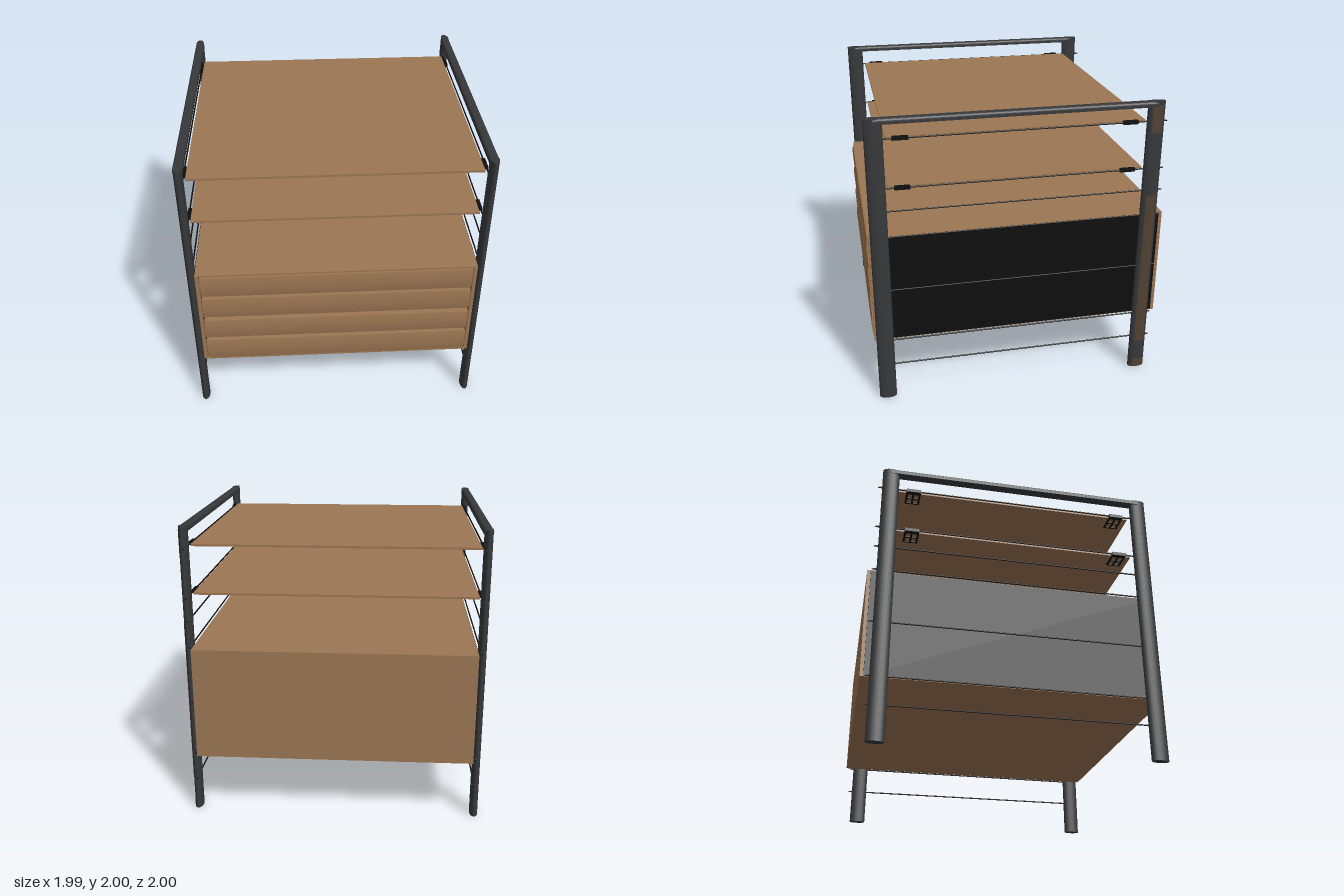
import * as THREE from 'three';

const mat = (name, color, side = THREE.FrontSide) => {
  const m = new THREE.MeshStandardMaterial({ color, side });
  m.name = name;
  return m;
};

export function createModel() {
  const wood = mat('wood', 0x9c7653);
  const steel = mat('dark steel', 0x37383a);
  const black = mat('black', 0x0e0e0e);
  const rust = mat('worn brown', 0x514132, THREE.DoubleSide);
  const model = new THREE.Group();

  const add = (name, geometry, material, x = 0, y = 0, z = 0, parent = model) => {
    const mesh = new THREE.Mesh(geometry, material);
    mesh.name = name;
    mesh.position.set(x, y, z);
    parent.add(mesh);
    return mesh;
  };
  // Box given by its lower and upper corners
  const box = (name, material, [x0, y0, z0], [x1, y1, z1], parent) =>
    add(name, new THREE.BoxGeometry(x1 - x0, y1 - y0, z1 - z0), material,
      (x0 + x1) / 2, (y0 + y1) / 2, (z0 + z1) / 2, parent);

  // Cabinet: top, bottom, back and front stiles in wood, black sides and core
  const cabinet = new THREE.Group();
  cabinet.name = 'cabinet';
  model.add(cabinet);
  box('cabinetCore', black, [-0.925, 0.445, -0.97], [0.925, 1.19, 0.955], cabinet);
  box('cabinetTop', wood, [-0.935, 1.188, -0.998], [0.935, 1.2, 0.985], cabinet);
  box('cabinetBottom', wood, [-0.935, 0.435, -0.998], [0.935, 0.447, 0.985], cabinet);
  box('cabinetBack', wood, [-0.935, 0.447, -0.998], [0.935, 1.188, -0.975], cabinet);
  for (const s of [-1, 1]) {
    box('frontStile', wood, [s > 0 ? 0.912 : -0.935, 0.447, 0.95], [s > 0 ? 0.935 : -0.912, 1.188, 0.985], cabinet);
    box('sidePanel', black, [s > 0 ? 0.92 : -0.938, 0.441, -0.974], [s > 0 ? 0.938 : -0.92, 1.196, 0.949], cabinet);
  }

  // Drawer fronts with a gently bowed face
  const drawers = [[0.45, 0.62], [0.645, 0.805], [0.835, 1.0], [1.02, 1.182]];
  for (const [y0, y1] of drawers) {
    const h = y1 - y0;
    const s = new THREE.Shape();
    s.moveTo(0, 0);
    s.lineTo(0.032, 0);
    s.quadraticCurveTo(0.05, h * 0.5, 0.036, h);
    s.lineTo(0, h);
    s.closePath();
    const g = new THREE.ExtrudeGeometry(s, { depth: 1.81, bevelEnabled: false, curveSegments: 10 });
    g.rotateY(-Math.PI / 2); // profile depth turns to +z, length runs to -x
    add('drawerFront', g, wood, 0.905, y0, 0.955, cabinet);
  }

  // Upper shelves with clip plates beneath
  for (const y of [1.86, 1.535]) {
    box('shelf', wood, [-0.938, y - 0.007, -0.825], [0.938, y + 0.007, 0.845]);
    for (const s of [-1, 1]) {
      for (const z of [-0.72, 0.755]) {
        const clip = new THREE.Group();
        clip.name = 'shelfClip';
        clip.position.set(s * 0.88, y - 0.009, z);
        model.add(clip);
        for (const dz of [-0.044, 0, 0.044])
          add('clipFinger', new THREE.BoxGeometry(0.12, 0.005, 0.014), black, 0, 0, dz, clip);
        for (const dx of [-0.055, 0, 0.055])
          add('clipBar', new THREE.BoxGeometry(0.012, 0.005, 0.1), black, dx, 0, 0, clip);
        add('clipHook', new THREE.BoxGeometry(0.024, 0.024, 0.1), black, s * 0.07, 0.009, 0, clip);
      }
    }
  }

  // Side frames: oval posts, rounded top rail and thin cross rods
  const oval = (h, rx, rz, start = 0, length = Math.PI * 2, open = false) =>
    new THREE.CylinderGeometry(1, 1, h, 32, 1, open, start, length).scale(rx, 1, rz);
  const rail = new THREE.Shape();
  rail.moveTo(-0.031, -0.036);
  rail.lineTo(0.031, -0.036);
  rail.lineTo(0.031, -0.018);
  rail.quadraticCurveTo(0.03, 0, 0.008, 0);
  rail.lineTo(-0.008, 0);
  rail.quadraticCurveTo(-0.03, 0, -0.031, -0.018);
  rail.closePath();
  for (const s of [-1, 1]) {
    const frame = new THREE.Group();
    frame.name = s > 0 ? 'leftFrame' : 'rightFrame';
    frame.position.x = s * 0.965;
    model.add(frame);
    add('frontPost', oval(1.998, 0.028, 0.058), steel, 0, 0.999, 0.917, frame);
    add('rearPost', oval(1.998, 0.028, 0.058), steel, 0, 0.999, -0.882, frame);
    add('topRail', new THREE.ExtrudeGeometry(rail, { depth: 1.8, bevelEnabled: false, curveSegments: 6 }),
      steel, 0, 2, -0.882, frame);
    for (const y of [0.245, 0.435, 0.815, 1.2, 1.38, 1.535, 1.86]) {
      const rod = new THREE.CylinderGeometry(0.005, 0.005, 1.83, 8).rotateX(Math.PI / 2);
      add('crossRod', rod, black, -s * 0.012, y, -0.05, frame);
      const tip = new THREE.ConeGeometry(0.009, 0.04, 8).rotateX(-Math.PI / 2);
      add('rodTip', tip, steel, -s * 0.012, y, -0.955, frame);
    }
  }

  // Worn patches wrapped on the left rear post
  for (const [y0, y1] of [[0.002, 0.07], [0.22, 1.35], [1.79, 1.975]]) {
    const patch = oval(y1 - y0, 0.0295, 0.0595, Math.PI * 0.32, Math.PI * 0.4, true);
    add('wornPatch', patch, rust, 0.965, (y0 + y1) / 2, -0.882);
  }

  return model;
}
